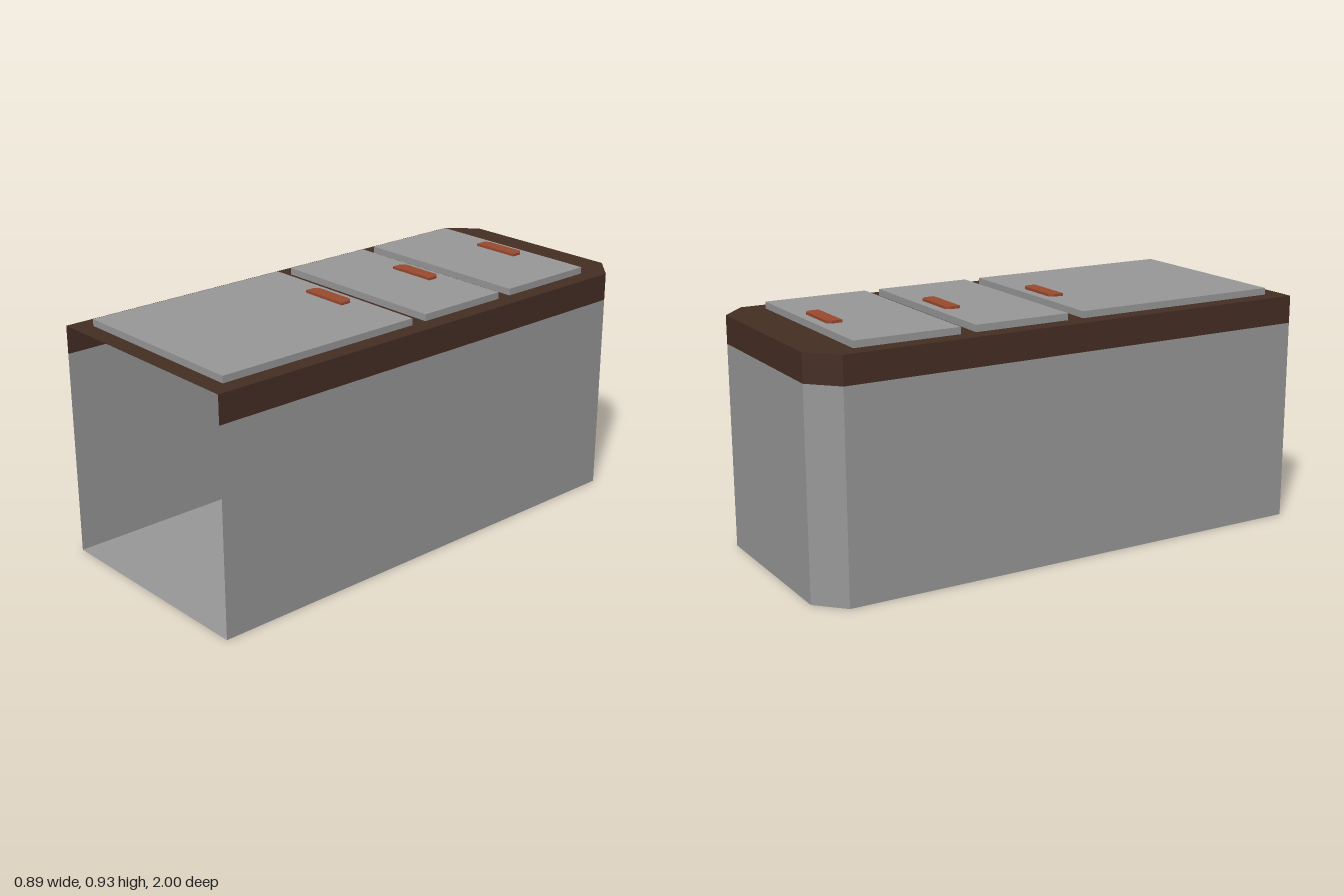
import * as THREE from 'three';

const grey = new THREE.MeshStandardMaterial({ name: 'greyPanel', color: 0x989898, side: THREE.DoubleSide });
const brown = new THREE.MeshStandardMaterial({ name: 'darkWood', color: 0x452e24, side: THREE.DoubleSide });
const rust = new THREE.MeshStandardMaterial({ name: 'rustHandle', color: 0x9a4a2f });

// Plan outline as (x, z): open at the front, back corners cut off
const OUTLINE = [[-0.443, 1], [-0.443, -0.9], [-0.34, -1], [0.34, -1], [0.443, -0.9], [0.443, 1]];
const SEAM = 0.785, TOP = 0.892;

function add(parent, name, geometry, material) {
  const mesh = new THREE.Mesh(geometry, material);
  mesh.name = name;
  parent.add(mesh);
  return mesh;
}

// Thin upright wall following the outline between two heights
function wall(y0, y1) {
  const p = [];
  for (let i = 0; i < OUTLINE.length - 1; i++) {
    const [ax, az] = OUTLINE[i], [bx, bz] = OUTLINE[i + 1];
    p.push(ax, y0, az, bx, y1, bz, bx, y0, bz);
    p.push(ax, y0, az, ax, y1, az, bx, y1, bz);
  }
  const g = new THREE.BufferGeometry();
  g.setAttribute('position', new THREE.Float32BufferAttribute(p, 3));
  g.computeVertexNormals();
  return g;
}

// Flat sheet filling the outline
function sheet(y) {
  const shape = new THREE.Shape(OUTLINE.map(([x, z]) => new THREE.Vector2(x, -z)));
  return new THREE.ShapeGeometry(shape).rotateX(-Math.PI / 2).translate(0, y, 0);
}

// Bar with its two rear corners cut off
function handleGeometry() {
  const pts = [[-0.1, 0], [0.1, 0], [0.1, 0.04], [0.085, 0.055], [-0.085, 0.055], [-0.1, 0.04]];
  const shape = new THREE.Shape(pts.map(([x, y]) => new THREE.Vector2(x, y)));
  return new THREE.ExtrudeGeometry(shape, { depth: 0.015, bevelEnabled: false }).rotateX(-Math.PI / 2);
}

export function createModel() {
  const model = new THREE.Group();
  model.name = 'counterUnit';

  // Open-fronted shell
  add(model, 'bodyWalls', wall(0, SEAM), grey);
  add(model, 'floor', sheet(0), grey);
  add(model, 'topRim', wall(SEAM, TOP), brown);
  add(model, 'topSurface', sheet(TOP), brown);

  // Raised lids set into the top, each with a handle near its back edge
  const handle = handleGeometry();
  for (const [name, back, front] of [['back', -0.83, -0.42], ['middle', -0.36, 0.02], ['front', 0.085, 0.93]]) {
    const lid = new THREE.Group();
    lid.name = name + 'Lid';
    const panel = add(lid, name + 'LidPanel', new THREE.BoxGeometry(0.752, 0.065, front - back), grey);
    panel.position.set(0, 0.8855, (back + front) / 2);
    add(lid, name + 'LidHandle', handle, rust).position.set(0, 0.913, back + 0.091);
    model.add(lid);
  }
  return model;
}
